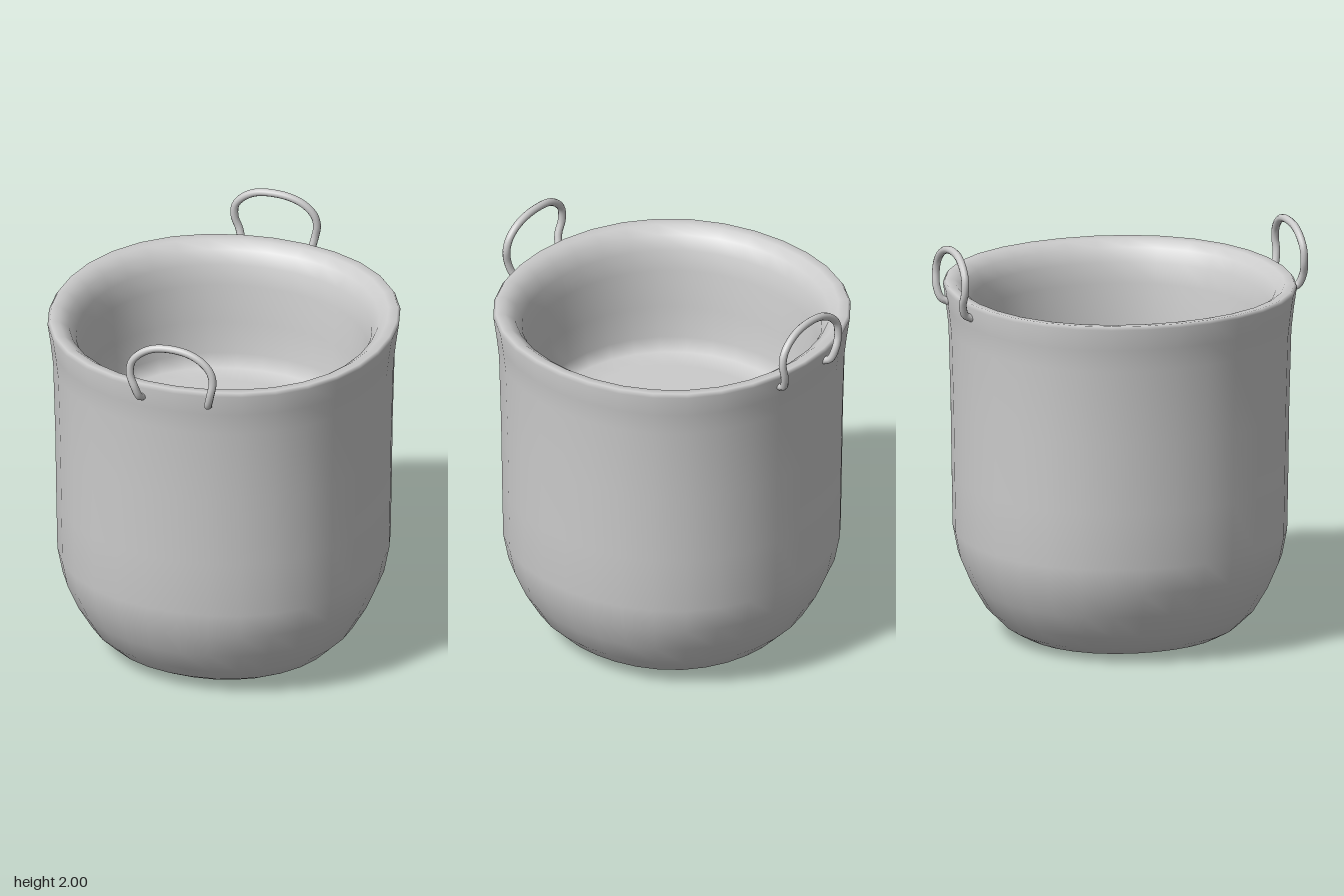
import * as THREE from 'three';
import { mergeVertices } from 'three/addons/utils/BufferGeometryUtils.js';

const material = new THREE.MeshStandardMaterial({ color: 0xcccccc, roughness: 0.8 });

// Basket wall: outer side from the base up, over the rim, down to the raised inner floor
function makeBody() {
  const profile = [
    [0, 0], [0.38, 0.004], [0.5, 0.02], [0.57, 0.06], [0.65, 0.14], [0.72, 0.26],
    [0.775, 0.39], [0.8, 0.52], [0.805, 0.8], [0.81, 1.15], [0.82, 1.52], [0.832, 1.63],
    [0.847, 1.735], [0.835, 1.752], [0.79, 1.748], [0.745, 1.715], [0.71, 1.65],
    [0.69, 1.55], [0.67, 1.36], [0.655, 1.2], [0.63, 1.13], [0.5, 1.13], [0, 1.13],
  ].map(([r, y]) => new THREE.Vector2(r, y));
  let geo = new THREE.LatheGeometry(profile, 32);

  // Slightly squared plan: push the diagonals outward
  const p = geo.attributes.position;
  for (let i = 0; i < p.count; i++) {
    const x = p.getX(i), z = p.getZ(i);
    const k = 1 + 0.012 * (1 - Math.cos(4 * Math.atan2(z, x)));
    p.setX(i, x * k);
    p.setZ(i, z * k);
  }
  geo.deleteAttribute('uv');
  geo.deleteAttribute('normal');
  geo = mergeVertices(geo, 1e-4);
  geo.computeVertexNormals();
  const body = new THREE.Mesh(geo, material);
  body.name = 'basketBody';
  return body;
}

// Bent loop handle whose ends hook into the wall just under the rim
function makeHandle(side) {
  const handle = new THREE.Group();
  handle.name = side > 0 ? 'frontHandle' : 'backHandle';
  const path = [
    [-0.165, 1.685, 0.825], [-0.17, 1.7, 0.855], [-0.187, 1.755, 0.874], [-0.21, 1.82, 0.872],
    [-0.205, 1.885, 0.869], [-0.165, 1.935, 0.866], [-0.1, 1.97, 0.863], [-0.02, 1.98, 0.861],
    [0.07, 1.97, 0.862], [0.14, 1.94, 0.865], [0.19, 1.89, 0.868], [0.206, 1.835, 0.871],
    [0.195, 1.765, 0.874], [0.178, 1.7, 0.855], [0.17, 1.685, 0.825],
  ].map(([x, y, z]) => new THREE.Vector3(x, y, z * side));
  const loop = new THREE.Mesh(
    new THREE.TubeGeometry(new THREE.CatmullRomCurve3(path), 64, 0.019, 10), material);
  loop.name = 'handleLoop';
  handle.add(loop);

  // Rounded ends
  for (const end of [path[0], path[path.length - 1]]) {
    const tip = new THREE.Mesh(new THREE.SphereGeometry(0.02, 10, 8), material);
    tip.name = 'handleTip';
    tip.position.copy(end);
    handle.add(tip);
  }
  return handle;
}

export function createModel() {
  const model = new THREE.Group();
  model.name = 'basket';
  model.add(makeBody(), makeHandle(1), makeHandle(-1));
  return model;
}
